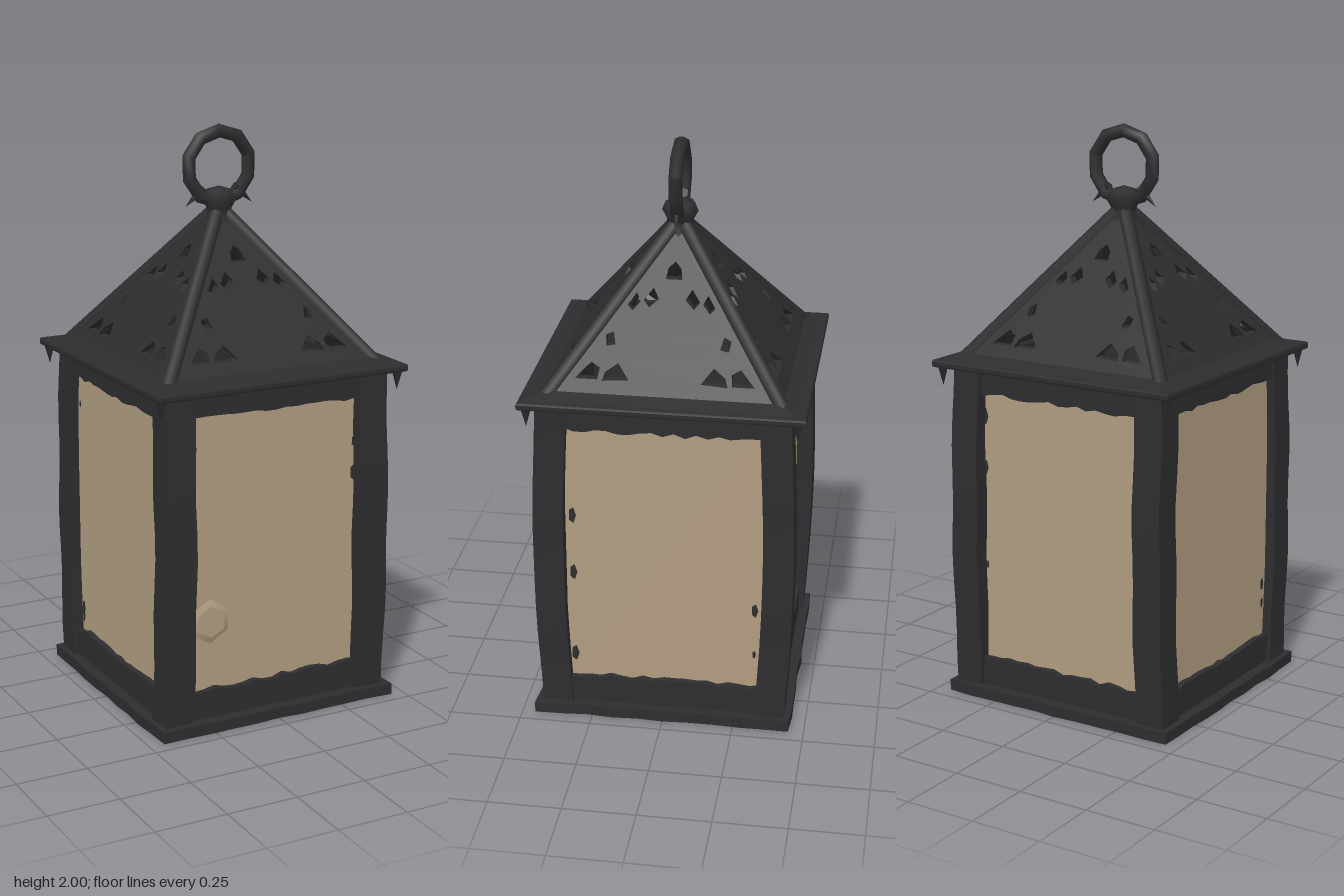
import * as THREE from 'three';

const iron = new THREE.MeshStandardMaterial({ color: 0x2d2d2f });
iron.name = 'dark iron';
const glass = new THREE.MeshStandardMaterial({ color: 0xb09c80 });
glass.name = 'tan glass';
const pale = new THREE.MeshStandardMaterial({ color: 0xb0aba0 });
pale.name = 'pale floor';

// Small repeatable noise, -1 to 1
const noise = (a, b = 0) => {
  const s = Math.sin(a * 127.1 + b * 311.7) * 43758.5453;
  return 2 * (s - Math.floor(s)) - 1;
};

function add(parent, name, geometry, material, x = 0, y = 0, z = 0) {
  const mesh = new THREE.Mesh(geometry, material);
  mesh.name = name;
  mesh.position.set(x, y, z);
  parent.add(mesh);
  return mesh;
}

// Move every vertex by a rule, then refresh the normals
function warp(geometry, rule) {
  const p = geometry.attributes.position;
  const v = new THREE.Vector3();
  for (let i = 0; i < p.count; i++) {
    rule(v.fromBufferAttribute(p, i));
    p.setXYZ(i, v.x, v.y, v.z);
  }
  geometry.computeVertexNormals();
  return geometry;
}

// Horizontal rail whose edge towards the glass is ragged
function railGeometry(height, inner, seed) {
  return warp(new THREE.BoxGeometry(0.68, height, 0.04, 18, 1, 1), v => {
    if (v.y * inner > 0) v.y += 0.008 * noise(Math.round(v.x * 100), seed);
  });
}

// Pierced roof side: a flat outline with holes, leaned back along the slope
const SLOPE = 0.78, EAVE = 1.21, REACH = 0.41;
function roofPanelGeometry() {
  const shape = new THREE.Shape([
    [-REACH, EAVE], [REACH, EAVE], [0.02, 1.71], [-0.02, 1.71],
  ].map(p => new THREE.Vector2(...p)));
  const hole = pts => shape.holes.push(new THREE.Path(pts.map(p => new THREE.Vector2(...p))));
  hole([[-0.028, 1.55], [0.028, 1.55], [0.022, 1.58], [0, 1.6], [-0.022, 1.58]]);
  for (const s of [-1, 1]) {
    const half = [
      [[0.12, 1.27], [0.21, 1.265], [0.2, 1.29], [0.16, 1.315]],
      [[0.225, 1.268], [0.3, 1.268], [0.25, 1.315], [0.22, 1.3]],
      [[0.175, 1.365], [0.205, 1.36], [0.21, 1.39], [0.185, 1.4]],
      [[0.105, 1.485], [0.13, 1.46], [0.148, 1.475], [0.12, 1.51]],
      [[0.045, 1.495], [0.075, 1.47], [0.095, 1.49], [0.065, 1.525]],
    ];
    half.forEach(pts => hole(pts.map(([x, y]) => [x * s, y])));
  }
  const g = new THREE.ExtrudeGeometry(shape, { depth: 0.03, bevelEnabled: false });
  return warp(g, v => { v.z += REACH - 0.03 - (v.y - EAVE) * SLOPE; });
}

export function createModel() {
  const lantern = new THREE.Group();
  lantern.name = 'lantern';

  // Base plate and inner floor
  add(lantern, 'basePlate', warp(new THREE.BoxGeometry(0.9, 0.04, 0.9, 10, 1, 10), v => {
    if (Math.abs(v.x) > 0.44) v.x += 0.005 * noise(Math.round(v.z * 50), 3);
    if (Math.abs(v.z) > 0.44) v.z += 0.005 * noise(Math.round(v.x * 50), 7);
  }), iron, 0, 0.02, 0);
  add(lantern, 'innerFloor', new THREE.BoxGeometry(0.74, 0.008, 0.74), pale, 0, 0.046, 0);

  // Slightly bowed corner posts
  for (const sx of [-1, 1]) for (const sz of [-1, 1]) {
    const post = new THREE.BoxGeometry(0.105, 1.17, 0.105, 1, 12, 1);
    warp(post, v => {
      const t = v.y / 1.17 + 0.5;
      const bow = Math.sin(Math.PI * t);
      v.z += sz * 0.022 * bow;
      v.x += -sx * 0.006 * t + 0.003 * Math.sin(t * 17 + sx * 2 + sz);
    });
    add(lantern, 'cornerPost', post, iron, sx * 0.374, 0.615, sz * 0.374);
  }

  // Four walls: glass, dark backing, rails and pierced roof side
  const panelGeometry = roofPanelGeometry();
  for (let i = 0; i < 4; i++) {
    const side = new THREE.Group();
    side.name = 'side' + (i + 1);
    side.rotation.y = i * Math.PI / 2;
    lantern.add(side);
    add(side, 'glassPane', new THREE.BoxGeometry(0.68, 1.05, 0.012), glass, 0, 0.62, 0.384);
    add(side, 'paneBacking', new THREE.BoxGeometry(0.68, 1.05, 0.008), iron, 0, 0.62, 0.372);
    add(side, 'bottomRail', railGeometry(0.1, 1, i), iron, 0, 0.09, 0.392);
    add(side, 'topRail', railGeometry(0.1, -1, i + 9), iron, 0, 1.15, 0.392);
    // Ragged iron flakes along the glass edges
    for (let k = 0; k < 5; k++) {
      const s = k % 2 ? 1 : -1;
      const flake = new THREE.CircleGeometry(0.018 + 0.008 * noise(k, i), 5);
      flake.scale(0.6, 1.4, 1);
      add(side, 'ironFlake', flake, iron, s * 0.316, 0.62 + 0.45 * noise(k + 4, i + 2), 0.3915);
    }
    add(side, 'roofPanel', panelGeometry, iron);
  }

  // Six-sided blister on the front pane
  const blister = new THREE.CylinderGeometry(0.055, 0.085, 0.012, 6, 1, true);
  blister.rotateX(Math.PI / 2);
  add(lantern, 'glassBlister', blister, glass, -0.24, 0.38, 0.394);
  add(lantern, 'blisterFace', new THREE.CircleGeometry(0.056, 6).rotateZ(Math.PI / 6), glass, -0.24, 0.38, 0.4);

  // Eave frame, open in the middle, with a slightly uneven rim
  const square = (w, d) => [[-w, -d], [w, -d], [w, d], [-w, d]].map(p => new THREE.Vector2(...p));
  const eaveShape = new THREE.Shape(square(0.465, 0.472));
  eaveShape.holes.push(new THREE.Path(square(0.375, 0.375)));
  const eave = new THREE.ExtrudeGeometry(eaveShape, {
    depth: 0.012, bevelEnabled: true, bevelSize: 0.008, bevelThickness: 0.008, bevelSegments: 2,
  });
  eave.rotateX(-Math.PI / 2);
  add(lantern, 'eave', eave, iron, 0, 1.193, 0);

  // Sloped skirt joining eave and roof
  const skirt = new THREE.CylinderGeometry(0.4 * Math.SQRT2, 0.465 * Math.SQRT2, 0.025, 4, 1, true);
  skirt.rotateY(Math.PI / 4);
  add(lantern, 'eaveSkirt', skirt.toNonIndexed(), iron, 0, 1.22, 0).geometry.computeVertexNormals();

  for (const sx of [-1, 1]) for (const sz of [-1, 1]) {
    // Pointed drips below the eave corners
    const drip = new THREE.ConeGeometry(0.022, 0.08, 5);
    drip.rotateX(Math.PI);
    add(lantern, 'eaveDrip', drip, iron, sx * 0.447, 1.16, sz * 0.452);
    // Hip ribs up the roof corners
    const rib = new THREE.TubeGeometry(new THREE.LineCurve3(
      new THREE.Vector3(sx * 0.395, 1.21, sz * 0.395),
      new THREE.Vector3(sx * 0.015, 1.7, sz * 0.015)), 1, 0.026, 7);
    add(lantern, 'hipRib', rib, iron);
  }

  // Neck and flared knob
  const knob = [[0.06, 1.65], [0.045, 1.69], [0.045, 1.715], [0.062, 1.745], [0.05, 1.775], [0, 1.79]];
  add(lantern, 'topKnob', new THREE.LatheGeometry(knob.map(p => new THREE.Vector2(...p)), 8), iron);
  for (const s of [-1, 1]) {
    const claw = add(lantern, 'knobClaw', new THREE.ConeGeometry(0.02, 0.09, 5), iron, s * 0.095, 1.755, 0);
    claw.rotation.z = s * -2.3;
  }

  // Carrying ring, roughly hammered
  const ring = warp(new THREE.TorusGeometry(0.121, 0.024, 7, 10), v => {
    const a = Math.round(Math.atan2(v.y, v.x) * 10 / (2 * Math.PI));
    const r = 1 + 0.025 * Math.sin(a * 2.4);
    v.x *= r;
  });
  ring.rotateZ(Math.PI / 10);
  add(lantern, 'carryRing', ring, iron, 0, 1.856, 0);

  return lantern;
}
